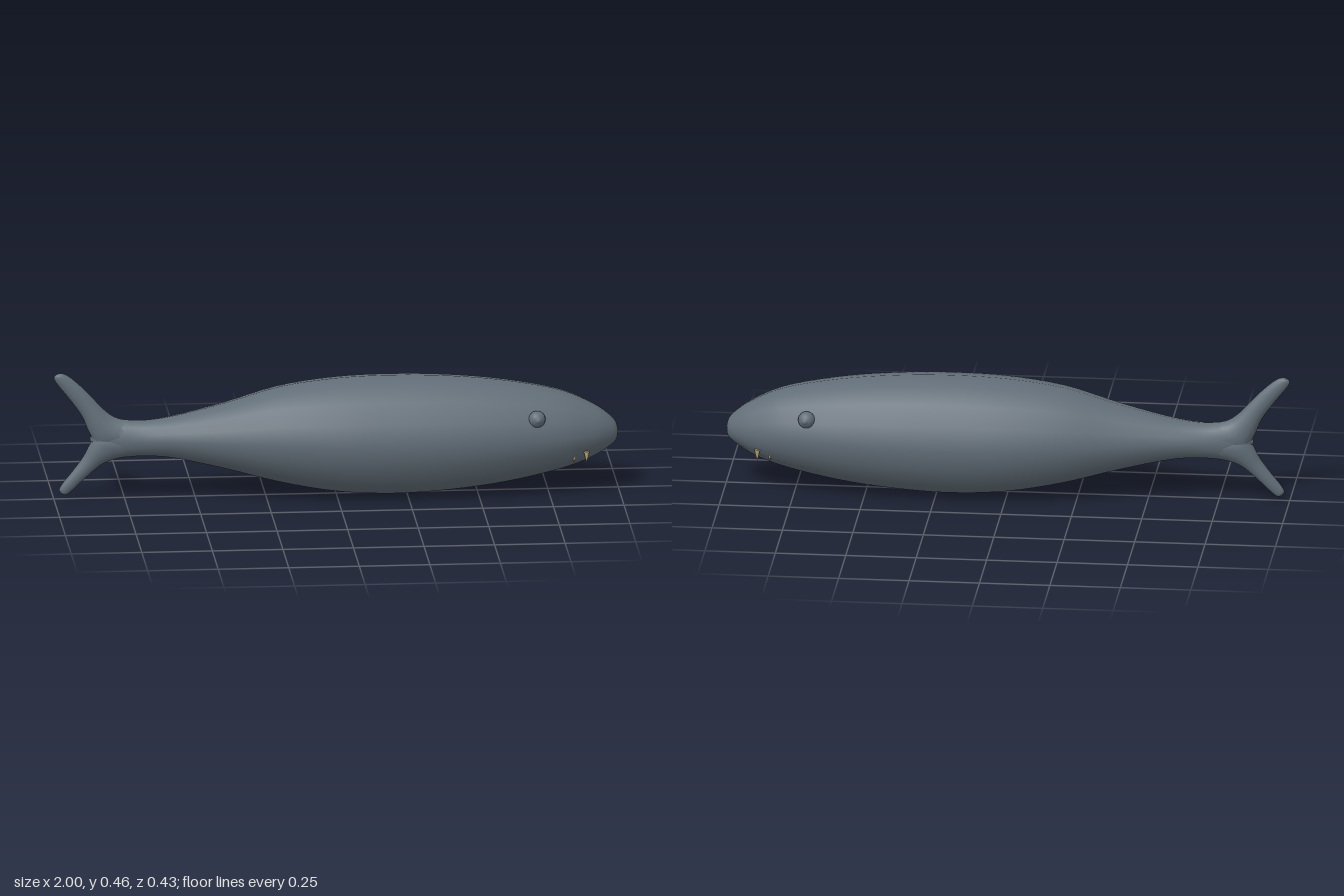
import * as THREE from 'three';

const skin = new THREE.MeshStandardMaterial({ color: 0x626e78 });
skin.name = 'slate skin';
const ivory = new THREE.MeshStandardMaterial({ color: 0xc4ae84 });
ivory.name = 'ivory';

// Smooth skin over elliptical sections: [upper x, upper y, lower x, lower y, half width]
function loft(name, sections, steps, sides = 16) {
  const upper = new THREE.CatmullRomCurve3(sections.map(s => new THREE.Vector3(s[0], s[1], s[4])));
  const lower = new THREE.CatmullRomCurve3(sections.map(s => new THREE.Vector3(s[2], s[3], s[4])));
  const pos = [], index = [];
  for (let i = 0; i <= steps; i++) {
    const a = upper.getPoint(i / steps), b = lower.getPoint(i / steps);
    for (let j = 0; j < sides; j++) {
      const t = j / sides * Math.PI * 2, k = (1 + Math.cos(t)) / 2;
      pos.push(b.x + (a.x - b.x) * k, b.y + (a.y - b.y) * k, a.z * Math.sin(t));
      if (i === steps) continue;
      const p = i * sides + j, q = i * sides + (j + 1) % sides;
      index.push(p, p + sides, q, q, p + sides, q + sides);
    }
  }
  const geo = new THREE.BufferGeometry();
  geo.setAttribute('position', new THREE.Float32BufferAttribute(pos, 3));
  geo.setIndex(index);
  geo.computeVertexNormals();
  const mesh = new THREE.Mesh(geo, skin);
  mesh.name = name;
  return mesh;
}

export function createModel() {
  const model = new THREE.Group();
  model.name = 'fish';

  // Body from nose to tail root: [x, top, bottom, half width]
  const body = [
    [1.0, 0.263, 0.261, 0.001], [0.99, 0.298, 0.228, 0.035], [0.95, 0.338, 0.198, 0.074],
    [0.9, 0.37, 0.17, 0.106], [0.8, 0.414, 0.135, 0.148], [0.6, 0.455, 0.091, 0.188],
    [0.4, 0.476, 0.066, 0.208], [0.2, 0.483, 0.056, 0.214], [0, 0.476, 0.068, 0.208],
    [-0.2, 0.449, 0.105, 0.178], [-0.4, 0.392, 0.159, 0.125], [-0.6, 0.346, 0.203, 0.077],
    [-0.7, 0.337, 0.207, 0.056], [-0.78, 0.342, 0.203, 0.043], [-0.84, 0.325, 0.225, 0.032],
    [-0.872, 0.277, 0.267, 0.004],
  ].map(([x, top, bottom, w]) => [x, top, x, bottom, w]);
  model.add(loft('body', body, 60));

  // Forked tail lobes growing out of the tail root
  model.add(loft('upperTailLobe', [
    [-0.68, 0.33, -0.72, 0.24, 0.045], [-0.78, 0.349, -0.84, 0.24, 0.041],
    [-0.825, 0.382, -0.872, 0.29, 0.034], [-0.86, 0.42, -0.9, 0.355, 0.027],
    [-0.905, 0.467, -0.945, 0.42, 0.021], [-0.955, 0.508, -0.995, 0.485, 0.015],
    [-0.975, 0.514, -1.0, 0.5, 0.011], [-0.989, 0.511, -0.993, 0.51, 0.001],
  ], 24));
  model.add(loft('lowerTailLobe', [
    [-0.72, 0.3, -0.68, 0.213, 0.045], [-0.84, 0.3, -0.78, 0.198, 0.041],
    [-0.872, 0.255, -0.825, 0.182, 0.034], [-0.895, 0.21, -0.855, 0.16, 0.027],
    [-0.935, 0.155, -0.897, 0.122, 0.021], [-0.972, 0.108, -0.938, 0.083, 0.015],
    [-0.981, 0.089, -0.955, 0.071, 0.011], [-0.973, 0.074, -0.969, 0.072, 0.001],
  ], 24));

  const eyeGeo = new THREE.SphereGeometry(0.03, 16, 12);
  const pupilGeo = new THREE.SphereGeometry(0.014, 12, 8);
  const toothGeo = new THREE.ConeGeometry(0.011, 0.044, 10);
  toothGeo.rotateX(Math.PI);
  const add = (name, geo, mat, x, y, z) => {
    const mesh = new THREE.Mesh(geo, mat);
    mesh.name = name;
    mesh.position.set(x, y, z);
    model.add(mesh);
  };

  // Bulging eyes and downward fangs, mirrored on both flanks
  for (const [label, side] of [['front', 1], ['back', -1]]) {
    add(label + 'Eye', eyeGeo, skin, 0.7, 0.35, side * 0.15);
    add(label + 'Pupil', pupilGeo, skin, 0.703, 0.35, side * 0.169);
    for (const x of [0.79, 0.835, 0.88]) add(label + 'Tooth', toothGeo, ivory, x, 0.194, side * 0.099);
  }
  return model;
}
